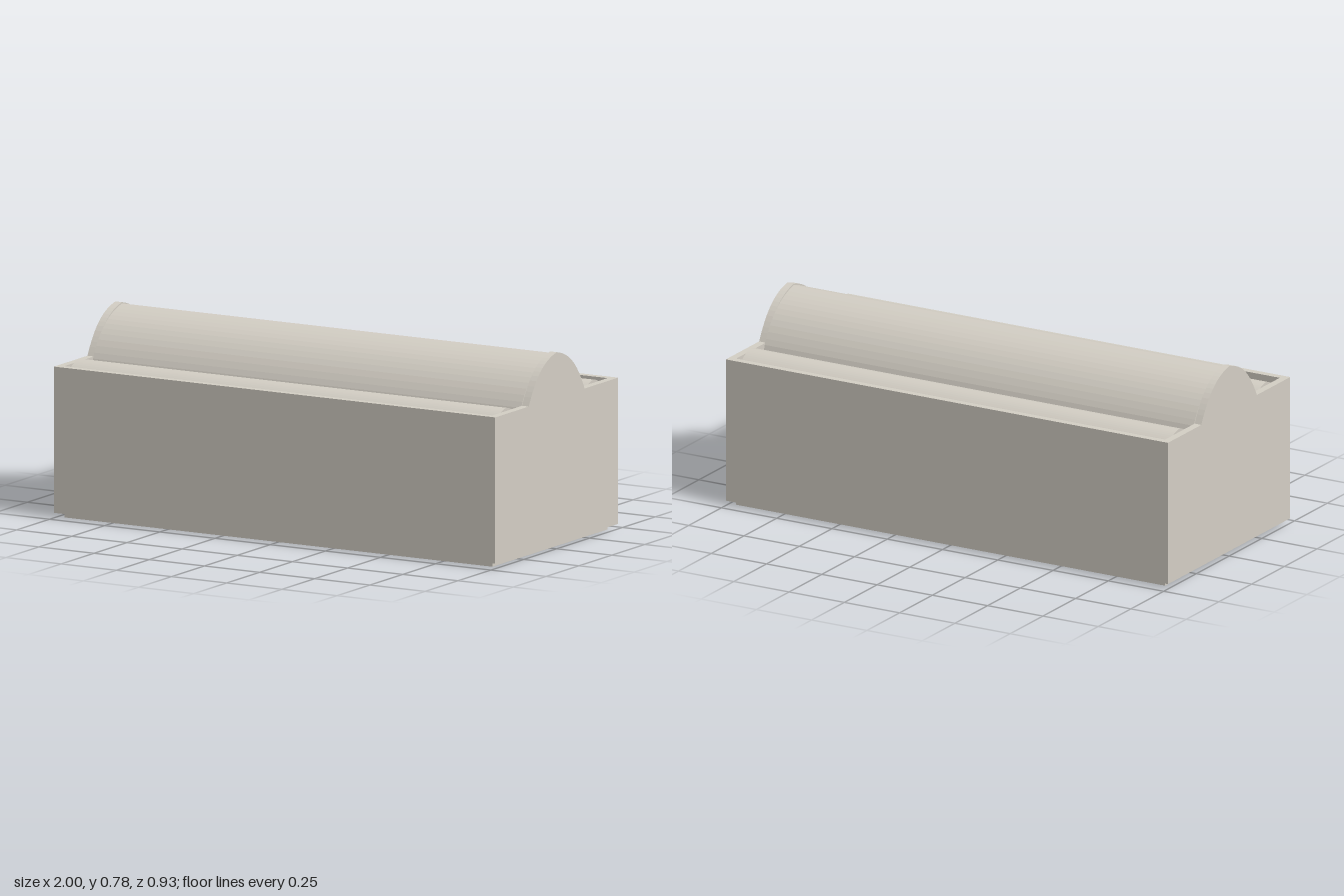
import * as THREE from 'three';

const stone = new THREE.MeshStandardMaterial({ color: 0xd4cfc5 });
stone.name = 'warm grey stone';

// Pointed vault: half profile [z, y] from ridge to foot, mirrored and run along x.
function vault(name, half, floorY, length, x, z) {
  const pts = new THREE.SplineCurve(half.map(([a, b]) => new THREE.Vector2(a, b))).getPoints(14);
  const foot = pts[pts.length - 1].x;
  const outline = [
    new THREE.Vector2(-foot, floorY),
    new THREE.Vector2(foot, floorY),
    ...pts.slice().reverse(),
    ...pts.slice(1).map((p) => new THREE.Vector2(-p.x, p.y)),
  ];
  const geo = new THREE.ExtrudeGeometry(new THREE.Shape(outline), { depth: length, bevelEnabled: false });
  geo.translate(0, 0, -length / 2);
  geo.rotateY(Math.PI / 2);
  const mesh = new THREE.Mesh(geo, stone);
  mesh.name = name;
  mesh.position.set(x, 0, z);
  return mesh;
}

function rectangle(path, w, d) {
  path.moveTo(-w / 2, -d / 2);
  path.lineTo(w / 2, -d / 2);
  path.lineTo(w / 2, d / 2);
  path.lineTo(-w / 2, d / 2);
  path.closePath();
  return path;
}

export function createModel() {
  const group = new THREE.Group();
  group.name = 'vaultedHall';

  // Outer walls rising past the roof as a parapet
  const ring = rectangle(new THREE.Shape(), 2, 0.934);
  ring.holes.push(rectangle(new THREE.Path(), 1.94, 0.876));
  const wallGeo = new THREE.ExtrudeGeometry(ring, { depth: 0.58, bevelEnabled: false });
  wallGeo.rotateX(-Math.PI / 2);
  wallGeo.translate(0, 0.02, 0);
  const walls = new THREE.Mesh(wallGeo, stone);
  walls.name = 'outerWalls';
  group.add(walls);

  // Core: plinth below the walls, gutter floor above
  const core = new THREE.Mesh(new THREE.BoxGeometry(1.94, 0.52, 0.876), stone);
  core.name = 'plinthAndRoofDeck';
  core.position.y = 0.26;
  group.add(core);

  // Central vault
  const main = [[0, 0.775], [0.05, 0.76], [0.1, 0.736], [0.145, 0.701], [0.185, 0.655], [0.217, 0.6], [0.23, 0.56]];
  group.add(vault('centralVault', main, 0.51, 1.94, 0, 0));

  // Gable at each end, and a low vault on each side
  const gable = [[0, 0.78], [0.05, 0.766], [0.1, 0.74], [0.145, 0.701], [0.185, 0.648], [0.212, 0.6]];
  const low = [[0, 0.612], [0.025, 0.606], [0.05, 0.594], [0.075, 0.575], [0.094, 0.55], [0.104, 0.52]];
  for (const s of [1, -1]) {
    group.add(vault(s > 0 ? 'leftGable' : 'rightGable', gable, 0.599, 0.03, s * 0.985, 0));
    group.add(vault(s > 0 ? 'frontLowVault' : 'backLowVault', low, 0.51, 1.936, 0, s * 0.331));
  }
  return group;
}
